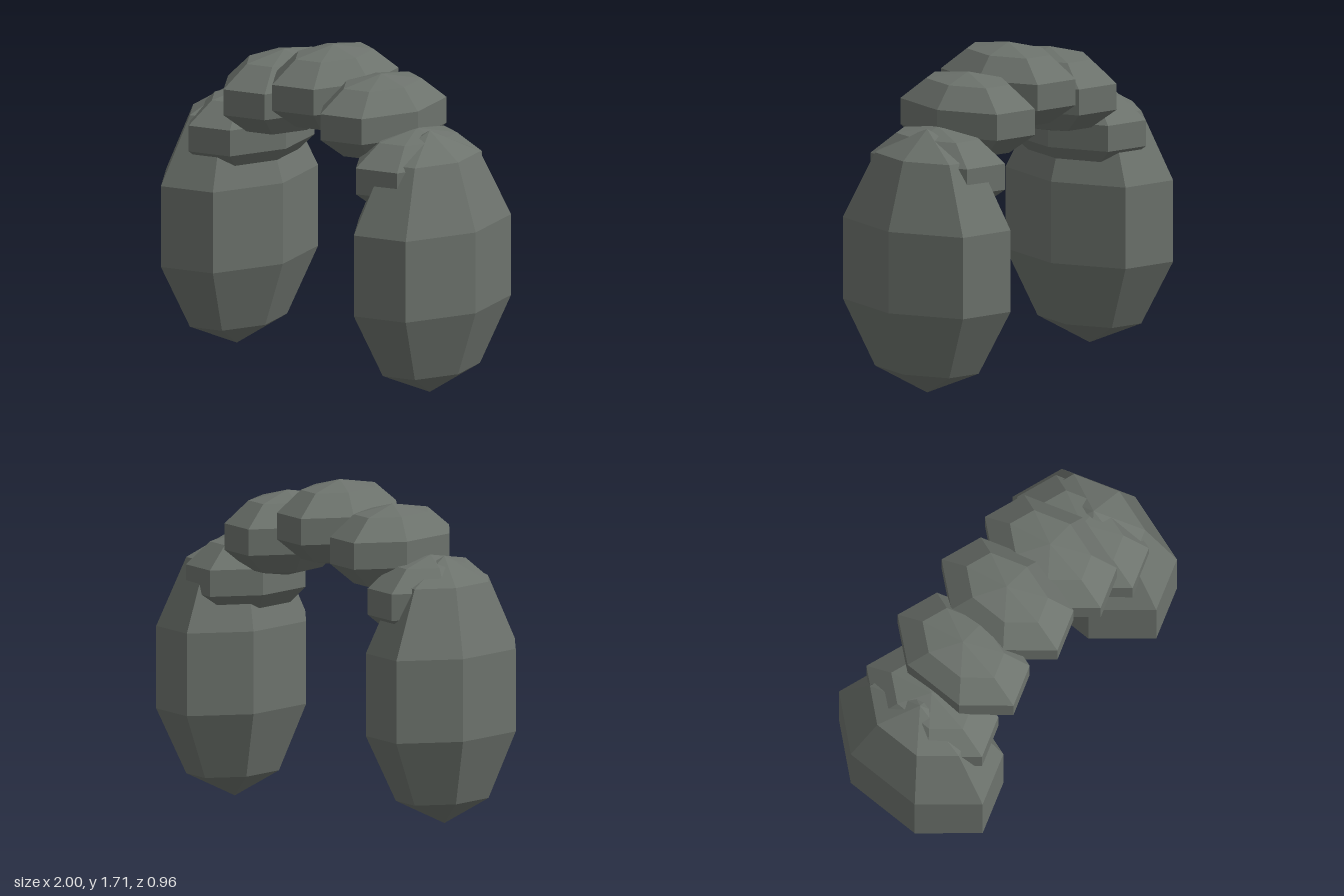
import * as THREE from 'three';

export function createModel() {
  const model = new THREE.Group();
  const material = new THREE.MeshStandardMaterial({ color: 0x6c726c, flatShading: true });

  // Faceted seven-sided ellipsoid with one corner pointing to +x
  function addPod(name, x, y, rx, ry, rz) {
    const geometry = new THREE.SphereGeometry(1, 7, 5, Math.PI);
    geometry.scale(rx, ry, rz);
    const mesh = new THREE.Mesh(geometry, material);
    mesh.name = name;
    mesh.position.set(x, y, 0);
    model.add(mesh);
  }

  // Large hanging pods
  addPod('rightPod', -0.706, 0.69, 0.345, 0.69, 0.515);
  addPod('leftPod', 0.671, 0.69, 0.345, 0.69, 0.515);

  // Arch of overlapping flattened beads joining the pods
  const beads = [
    ['rightOuterBead', -0.615, 1.157],
    ['rightInnerBead', -0.366, 1.395],
    ['topBead', -0.018, 1.485],
    ['leftInnerBead', 0.326, 1.395],
    ['leftOuterBead', 0.579, 1.157],
  ];
  for (const [name, x, y] of beads) addPod(name, x, y, 0.273, 0.22, 0.415);

  return model;
}
